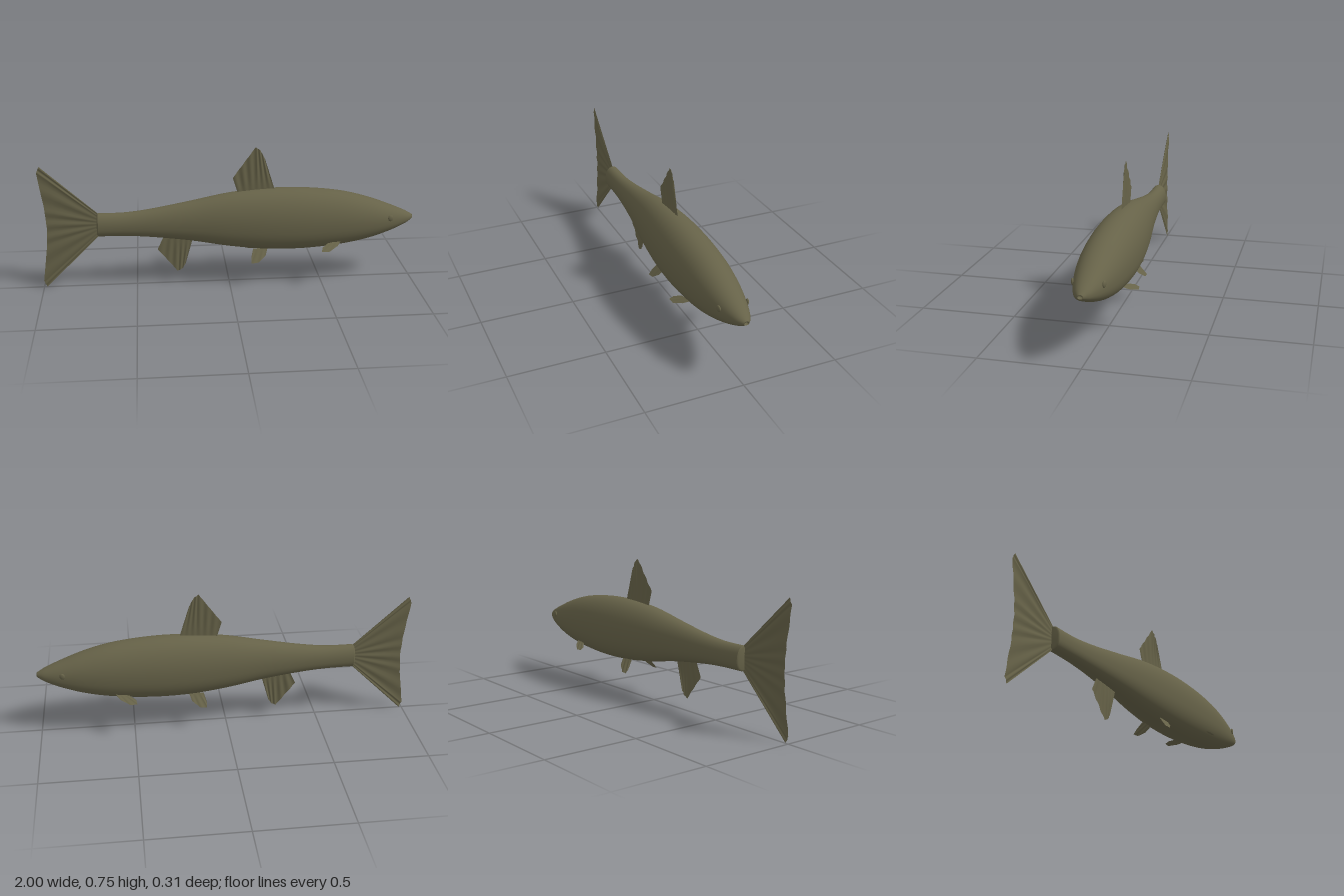
import * as THREE from 'three';

const olive = new THREE.MeshStandardMaterial({ color: 0x666248, side: THREE.DoubleSide });
olive.name = 'olive';

function gridMesh(name, pos, rows, cols, wrap) {
  const idx = [];
  const at = (i, j) => i * cols + (j % cols);
  for (let i = 0; i < rows - 1; i++) {
    for (let j = 0; j < (wrap ? cols : cols - 1); j++) {
      idx.push(at(i, j), at(i + 1, j), at(i + 1, j + 1), at(i, j), at(i + 1, j + 1), at(i, j + 1));
    }
  }
  const g = new THREE.BufferGeometry();
  g.setAttribute('position', new THREE.Float32BufferAttribute(pos, 3));
  g.setIndex(idx);
  g.computeVertexNormals();
  const m = new THREE.Mesh(g, olive);
  m.name = name;
  return m;
}

// Egg-shaped cross-sections, each [x, top, bottom, halfWidth], running towards +x
function loft(name, sections, sides = 48) {
  const pos = [];
  for (const [x, top, bottom, w] of sections) {
    const mid = bottom + (top - bottom) * 0.45;
    for (let j = 0; j < sides; j++) {
      const a = (j / sides) * Math.PI * 2;
      const s = Math.sin(a), c = Math.cos(a);
      const p = s < 0 ? 0.82 : 0.97; // fuller belly
      const y = Math.sign(s) * Math.abs(s) ** p * (s < 0 ? mid - bottom : top - mid);
      pos.push(x, mid + y, Math.sign(c) * Math.abs(c) ** p * w);
    }
  }
  return gridMesh(name, pos, sections.length, sides, true);
}

// Walk a polyline, t in 0..1, equal share per segment
function along(pts, t) {
  const f = t * (pts.length - 1);
  const i = Math.min(Math.floor(f), pts.length - 2);
  return pts[i].map((v, k) => v + (pts[i + 1][k] - v) * (f - i));
}

// Rayed fin between a root line and a tip line; side(y) gives its z
function fin(name, root, tip, waves, amp, side = () => 0) {
  const rows = 7, cols = 49, pos = [];
  for (let i = 0; i < rows; i++) {
    const v = i / (rows - 1);
    for (let j = 0; j < cols; j++) {
      const t = j / (cols - 1);
      const a = along(root, t), b = along(tip, t);
      const x = a[0] + (b[0] - a[0]) * v, y = a[1] + (b[1] - a[1]) * v;
      const ripple = amp * Math.sin(t * waves * Math.PI * 2) * Math.sin(v * Math.PI * 0.75);
      pos.push(x, y, side(y) + ripple);
    }
  }
  return gridMesh(name, pos, rows, cols, false);
}

export function createModel() {
  const fish = new THREE.Group();
  fish.name = 'fish';

  // Body
  const profile = [
    [-0.695, 0.413, 0.288, 0.045], [-0.55, 0.414, 0.286, 0.048], [-0.4, 0.432, 0.275, 0.058],
    [-0.2, 0.468, 0.25, 0.079], [0, 0.506, 0.215, 0.104], [0.2, 0.524, 0.193, 0.121],
    [0.4, 0.522, 0.191, 0.126], [0.6, 0.499, 0.208, 0.118], [0.75, 0.46, 0.236, 0.1],
    [0.87, 0.415, 0.273, 0.073], [0.95, 0.381, 0.306, 0.045], [0.985, 0.362, 0.325, 0.024],
    [0.997, 0.355, 0.333, 0.014],
  ];
  const spline = k => new THREE.SplineCurve(profile.map(p => new THREE.Vector2(p[0], p[k])));
  const curves = [spline(1), spline(2), spline(3)];
  const sections = [];
  for (let i = 0; i <= 72; i++) {
    const p = curves.map(c => c.getPoint(i / 72));
    sections.push([p[0].x, p[0].y, p[1].y, p[2].y]);
  }
  fish.add(loft('body', sections));
  fish.add(loft('tailStump', [
    [-0.702, 0.35, 0.35, 0], [-0.702, 0.405, 0.296, 0.039], [-0.695, 0.413, 0.288, 0.045],
  ]));
  fish.add(loft('mouth', [
    [0.997, 0.355, 0.333, 0.014], [0.999, 0.353, 0.335, 0.012],
    [0.985, 0.351, 0.337, 0.009], [0.984, 0.344, 0.344, 0],
  ]));

  // Fins on the middle line
  fish.add(fin('tailFin', [[-0.685, 0.405], [-0.69, 0.35], [-0.685, 0.295]],
    [[-0.985, 0.68], [-1, 0.645], [-0.972, 0.45], [-0.965, 0.34], [-0.972, 0.23], [-1, 0.035], [-0.985, 0]],
    9, 0.003));
  fish.add(fin('dorsalFin', [[0.05, 0.495], [0.245, 0.515]],
    [[0.02, 0.59], [0.08, 0.672], [0.14, 0.755], [0.165, 0.738], [0.19, 0.69]], 6, 0.003));
  fish.add(fin('analFin', [[-0.345, 0.285], [-0.195, 0.255]],
    [[-0.385, 0.197], [-0.33, 0.13], [-0.28, 0.066], [-0.255, 0.078], [-0.237, 0.105]], 5, 0.003));

  // Paired fins and eyes
  for (const s of [1, -1]) {
    const label = s > 0 ? 'left' : 'right';
    fish.add(fin(label + 'PelvicFin', [[0.125, 0.205], [0.205, 0.21]],
      [[0.112, 0.165], [0.112, 0.14], [0.15, 0.143], [0.19, 0.172]], 3, 0.0015,
      y => s * (0.06 + (0.2 - y) * 0.77)));
    fish.add(fin(label + 'PectoralFin', [[0.52, 0.241], [0.6, 0.252]],
      [[0.487, 0.226], [0.483, 0.213], [0.52, 0.212], [0.57, 0.23]], 3, 0.0015,
      y => s * (0.1 + (0.243 - y) * 1.7)));

    const eye = new THREE.Mesh(new THREE.SphereGeometry(0.017, 24, 16), olive);
    eye.name = label + 'Eye';
    eye.scale.set(0.85, 1, 0.4);
    eye.position.set(0.863, 0.362, s * 0.0745);
    eye.rotation.y = s * 0.25;
    fish.add(eye);
  }
  return fish;
}
